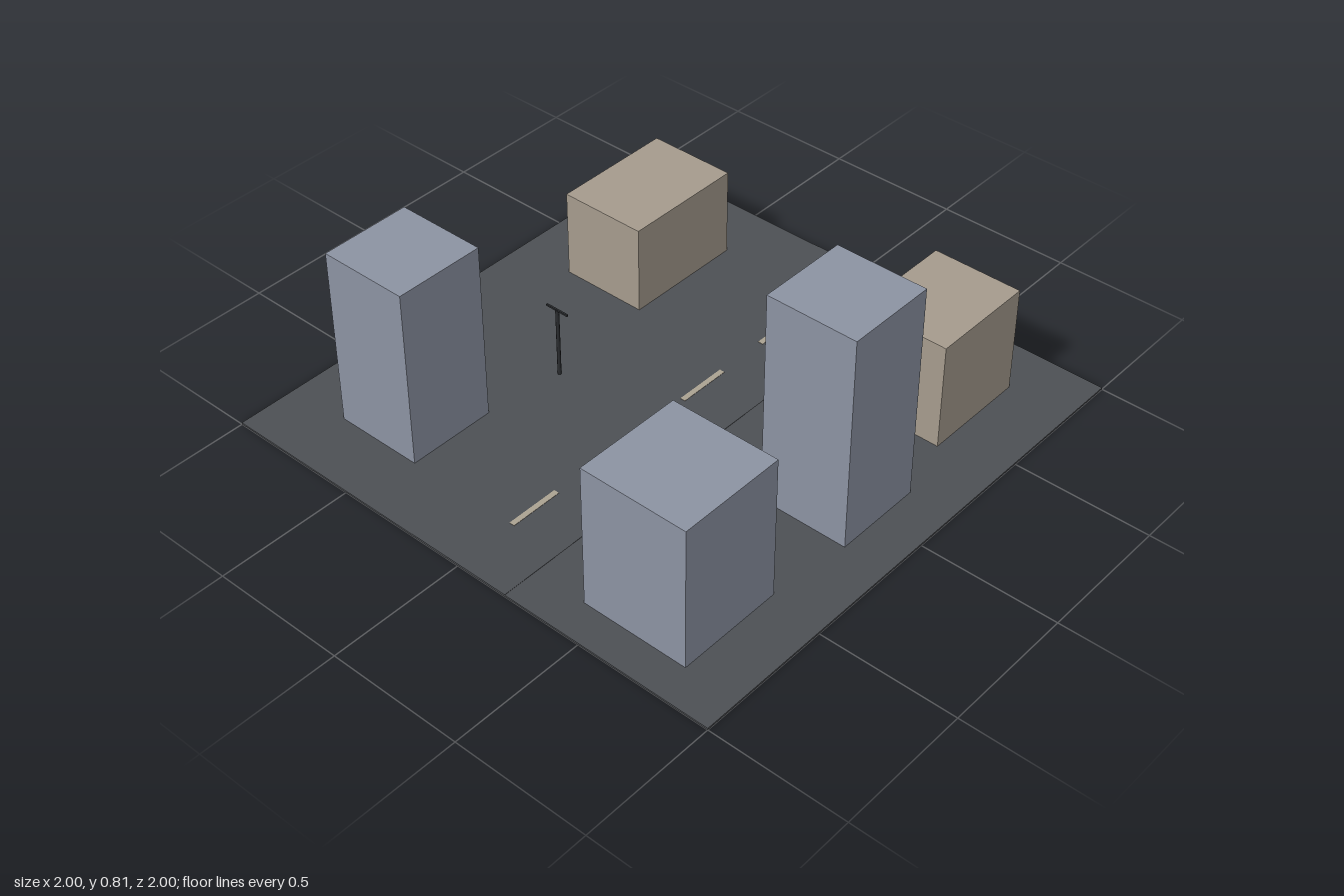
import * as THREE from 'three';

const U = 1 / 15; // one street-plan unit

function material(name, color) {
  const m = new THREE.MeshStandardMaterial({ color });
  m.name = name;
  return m;
}

export function createModel() {
  const group = new THREE.Group();
  const asphalt = material('asphalt', 0x4d5054);
  const blueGrey = material('blueGreyWall', 0x8c93a2);
  const beige = material('beigeWall', 0xa59b8d);
  const paint = material('lanePaint', 0xaba291);
  const iron = material('darkIron', 0x2b2d30);

  // Box standing on height y, sizes and position in plan units
  function block(name, mat, w, h, d, x, y, z) {
    const mesh = new THREE.Mesh(new THREE.BoxGeometry(w * U, h * U, d * U), mat);
    mesh.position.set(x * U, (y + h / 2) * U, z * U);
    mesh.name = name;
    group.add(mesh);
  }

  // Ground slab with a slightly raised road across it
  const ground = 0.1;
  block('ground', asphalt, 30, ground, 30, 0, 0, 0);
  block('road', asphalt, 30, 0.02, 6, 0, ground, 0);

  // Dashed centre line
  for (let i = 0; i < 4; i++) {
    block('laneDash', paint, 3, 0.02, 0.3, -10 + 6 * i, ground + 0.02, 0);
  }

  // Buildings: material, width, height, depth, x, z
  const buildings = [
    [blueGrey, 6, 8, 6, -10, 9],
    [blueGrey, 5, 12, 5, 0, 10],
    [beige, 6, 6, 5, 9, 9],
    [blueGrey, 5, 10, 5, -9, -9],
    [beige, 7, 5, 5, 8, -9],
  ];
  for (const [mat, w, h, d, x, z] of buildings) {
    block('building', mat, w, h, d, x, ground, z);
  }

  // Street lamp: round pole with a short crossbar
  const pole = new THREE.Mesh(new THREE.CylinderGeometry(0.1 * U, 0.1 * U, 4 * U, 8), iron);
  pole.position.set(-2 * U, (ground + 2) * U, -6 * U);
  pole.name = 'lampPole';
  group.add(pole);
  block('lampArm', iron, 0.1, 0.1, 1.4, -2, ground + 3.95, -6);

  return group;
}
